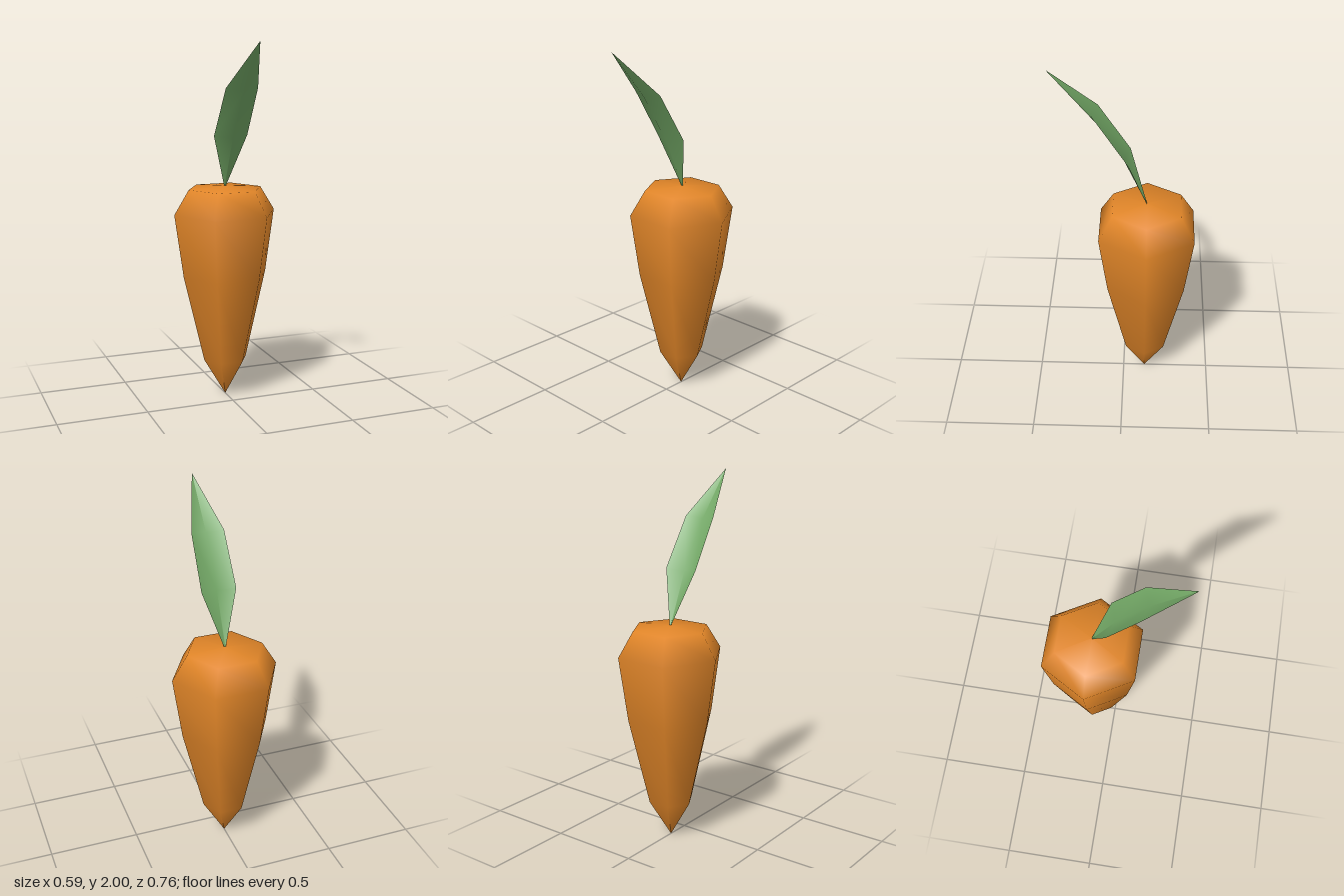
import * as THREE from 'three';

const CENTRE_Z = -0.125;

// Six-sided tapering root with smooth shading
function makeRoot(material) {
  const profile = [[0, 0], [0.127, 0.215], [0.245, 0.71], [0.296, 1.065], [0.212, 1.2], [0, 1.215]]
    .map(([r, y]) => new THREE.Vector2(r, y));
  const root = new THREE.Mesh(new THREE.LatheGeometry(profile, 6, Math.PI / 6), material);
  root.name = 'root';
  root.position.z = CENTRE_Z;
  return root;
}

// Leaf blade folded along its midrib: each row is left edge, midrib, right edge
function makeLeaf(material) {
  const rows = [
    { half: 0.004, edge: [1.21, -0.125], rib: [1.21, -0.123] },
    { half: 0.096, edge: [1.5, -0.033], rib: [1.487, 0] },
    { half: 0.09, edge: [1.762, 0.135], rib: [1.75, 0.165] },
    { half: 0.001, edge: [2, 0.38], rib: [2, 0.38] },
  ];
  const positions = [];
  const index = [];
  rows.forEach(({ half, edge, rib }, i) => {
    positions.push(-half, ...edge, 0, ...rib, half, ...edge);
    if (i === rows.length - 1) return;
    for (let j = 0; j < 2; j++) {
      const a = i * 3 + j;
      index.push(a, a + 1, a + 4, a, a + 4, a + 3);
    }
  });
  const geometry = new THREE.BufferGeometry();
  geometry.setAttribute('position', new THREE.Float32BufferAttribute(positions, 3));
  geometry.setIndex(index);
  geometry.computeVertexNormals();
  const leaf = new THREE.Mesh(geometry, material);
  leaf.name = 'leaf';
  return leaf;
}

export function createModel() {
  const orange = new THREE.MeshStandardMaterial({ color: 0xe08528 });
  orange.name = 'carrot orange';
  const green = new THREE.MeshStandardMaterial({ color: 0x72a765, side: THREE.DoubleSide });
  green.name = 'leaf green';

  const carrot = new THREE.Group();
  carrot.name = 'carrot';
  carrot.add(makeRoot(orange), makeLeaf(green));
  return carrot;
}
